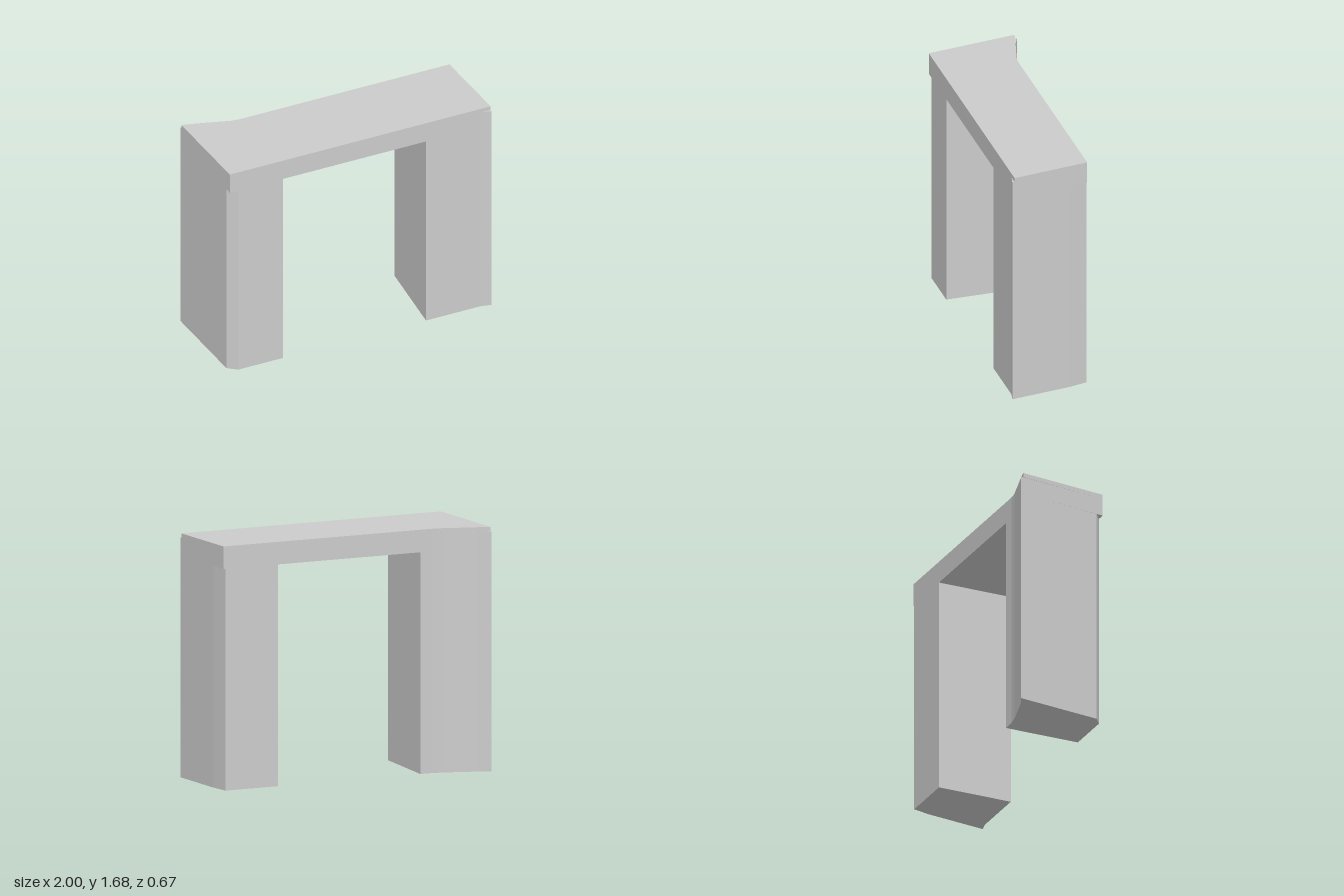
import * as THREE from 'three';

const material = new THREE.MeshStandardMaterial({ color: 0xcccccc, flatShading: true });

// Upright prism with a ground-plan outline of [x, z] corners
function prism(name, plan, bottom, top) {
  const shape = new THREE.Shape(plan.map(([x, z]) => new THREE.Vector2(x, z)));
  const geometry = new THREE.ExtrudeGeometry(shape, { depth: top - bottom, bevelEnabled: false });
  geometry.rotateX(Math.PI / 2).translate(0, top, 0);
  const mesh = new THREE.Mesh(geometry, material);
  mesh.name = name;
  return mesh;
}

export function createModel() {
  const group = new THREE.Group();
  group.name = 'archway';

  const FRONT = 0.317, BACK = -0.22, INNER = 0.525;
  const LINTEL = 1.525, LEDGE = 1.65, TOP = 1.68;

  // Flared outer corners, shared by the legs and the lower lintel
  const frontFlare = [[0.93, FRONT], [1, 0.333]];
  const backFlare = [[-1, -0.333], [-0.92, -0.298], [-0.69, -0.234], [-0.61, BACK]];

  // Legs, each with one softened outer corner
  group.add(prism('leftLeg', [
    [INNER, BACK], [INNER, FRONT], ...frontFlare, [0.945, -0.09], [0.915, BACK],
  ], 0, LINTEL));
  group.add(prism('rightLeg', [
    ...backFlare, [-INNER, BACK], [-INNER, FRONT], [-0.855, FRONT], [-0.921, 0.27],
  ], 0, LINTEL));

  // Lintel that carries the flares, then a sharper cap slab
  group.add(prism('lintel', [
    ...backFlare, [0.928, BACK], ...frontFlare.slice().reverse(), [-0.916, FRONT],
  ], LINTEL, LEDGE));
  group.add(prism('capSlab', [
    [-1, -0.317], [-0.92, -0.297], [-0.67, -0.227], [-0.61, BACK],
    [0.928, BACK], [1, FRONT], [-0.916, FRONT],
  ], LEDGE, TOP));

  return group;
}
